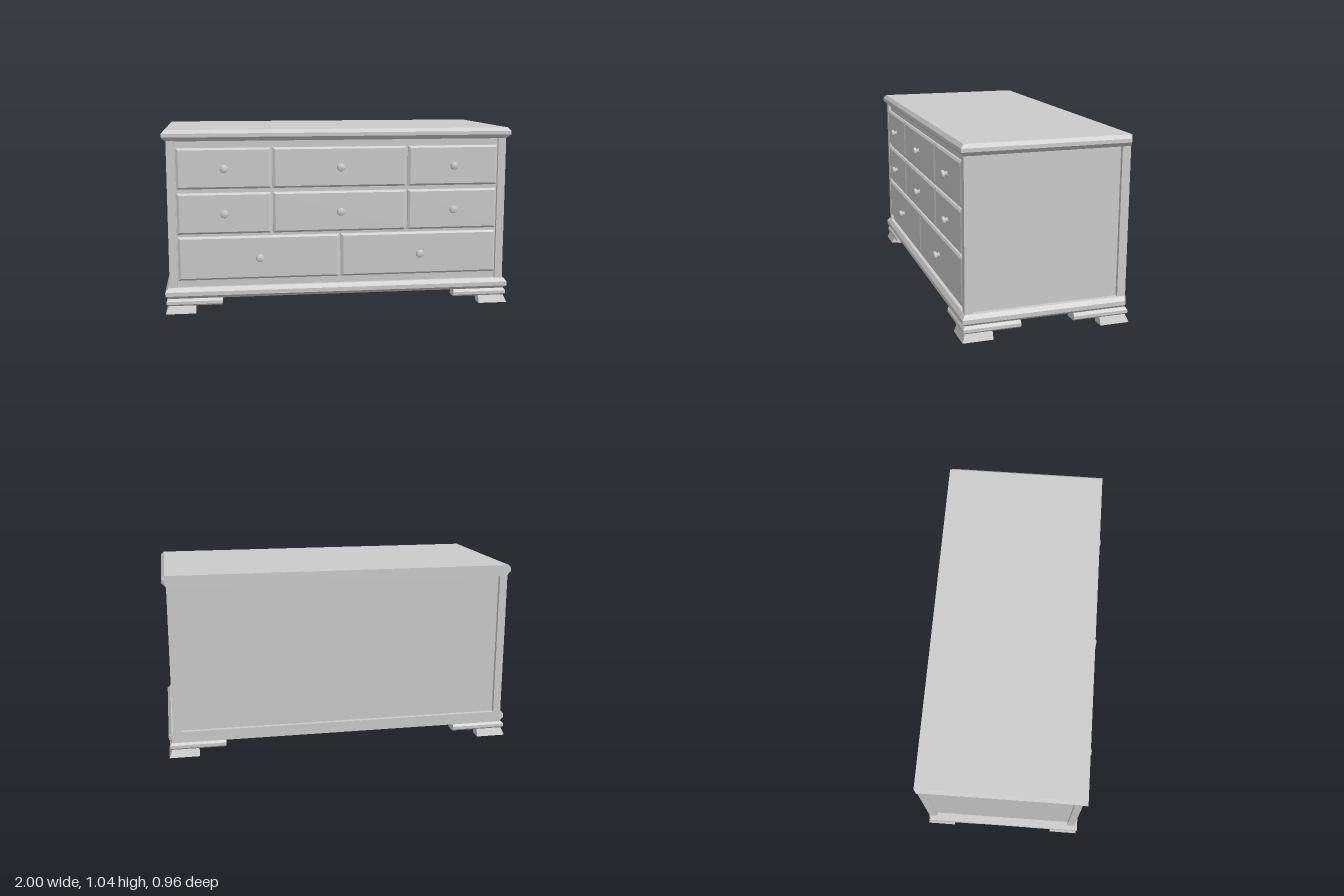
import * as THREE from 'three';

const material = new THREE.MeshStandardMaterial({ color: 0xcccccc, flatShading: true });
const smooth = new THREE.MeshStandardMaterial({ color: 0xcccccc });

// Closed solid through stacked [x, z] loops, listed from low y to high y.
function loft(layers) {
  const rings = layers.map(({ y, loop }) => {
    const pts = loop.map(([x, z]) => new THREE.Vector2(x, z));
    if (THREE.ShapeUtils.isClockWise(pts)) pts.reverse();
    return { y, pts };
  });
  const n = rings[0].pts.length;
  const positions = [];
  const index = [];
  rings.forEach(({ y, pts }) => pts.forEach((p) => positions.push(p.x, y, p.y)));
  for (let k = 0; k < rings.length - 1; k++) {
    for (let i = 0; i < n; i++) {
      const j = (i + 1) % n;
      const a = k * n + i, b = k * n + j;
      index.push(a, a + n, b + n, a, b + n, b);
    }
  }
  const top = (rings.length - 1) * n;
  THREE.ShapeUtils.triangulateShape(rings[0].pts, []).forEach(([a, b, c]) => index.push(a, b, c));
  THREE.ShapeUtils.triangulateShape(rings[rings.length - 1].pts, [])
    .forEach(([a, b, c]) => index.push(top + a, top + c, top + b));
  const geometry = new THREE.BufferGeometry();
  geometry.setAttribute('position', new THREE.Float32BufferAttribute(positions, 3));
  geometry.setIndex(index);
  const flat = geometry.toNonIndexed();
  flat.computeVertexNormals();
  return flat;
}

// Box given by its limits.
function box(x0, x1, y0, y1, z0, z1) {
  return new THREE.BoxGeometry(x1 - x0, y1 - y0, z1 - z0)
    .translate((x0 + x1) / 2, (y0 + y1) / 2, (z0 + z1) / 2);
}

// Moulded slab outline: flush back with small clipped corners.
function slabLoop(w, front) {
  const xb = Math.min(w, 0.985);
  return [[-w, front], [w, front], [w, -0.447], [xb, -0.458], [-xb, -0.458], [-w, -0.447]];
}

function slab(y0, y1, y2, y3) {
  return loft([
    { y: y0, loop: slabLoop(0.975, 0.451) },
    { y: y1, loop: slabLoop(1, 0.472) },
    { y: y2, loop: slabLoop(1, 0.472) },
    { y: y3, loop: slabLoop(0.982, 0.455) },
  ]);
}

// L-shaped corner outline, pushed outward by o, arms ending at x0 and z0.
function cornerLoop(sx, sz, o, x0, z0, t) {
  const x = 0.983 + o, z = 0.456 + o;
  return [[x, z], [x, z0], [x - t, z0], [x - t, z - t], [x0, z - t], [x0, z]]
    .map(([px, pz]) => [px * sx, pz * sz]);
}

export function createModel() {
  const model = new THREE.Group();
  const chest = new THREE.Group();
  chest.name = 'chestOfDrawers';
  chest.position.z = -0.01;
  model.add(chest);

  const add = (name, geometry, mat = material, parent = chest) => {
    const mesh = new THREE.Mesh(geometry, mat);
    mesh.name = name;
    parent.add(mesh);
    return mesh;
  };

  // Carcass with recessed sides, back and front, between two moulded slabs
  add('carcass', box(-0.955, 0.955, 0.14, 0.985, -0.435, 0.435));
  add('topSlab', slab(0.977, 1.0, 1.02, 1.04));
  add('baseMoulding', slab(0.083, 0.102, 0.125, 0.147));

  for (const sx of [-1, 1]) {
    const side = sx > 0 ? 'left' : 'right';
    const [x0, x1] = sx > 0 ? [0.93, 0.975] : [-0.975, -0.93];
    // Corner posts
    add(side + 'FrontPost', box(x0, x1, 0.14, 0.985, 0.41, 0.453));
    add(side + 'BackPost', box(x0, x1, 0.14, 0.985, -0.458, -0.41));

    // Stepped bracket feet with a flared lower block
    for (const sz of [-1, 1]) {
      const foot = new THREE.Group();
      foot.name = side + (sz > 0 ? 'Front' : 'Back') + 'Foot';
      chest.add(foot);
      const bracket = [[0.043, 0], [0.053, 0.011], [0.07, 0.011], [0.084, 0]];
      add('footBracket', loft(bracket.map(([y, o]) => (
        { y, loop: cornerLoop(sx, sz, o, 0.677, 0.15, 0.08) }))), material, foot);
      const block = [[0, 0.017], [0.044, 0]];
      add('footBlock', loft(block.map(([y, o]) => (
        { y, loop: cornerLoop(sx, sz, o, 0.83, 0.305, 0.07) }))), material, foot);
    }
  }

  // Drawer front: a panel with bevelled edges
  const rect = (w, h) => [[-w, -h], [w, -h], [w, h], [-w, h]];
  const drawerFront = (w, h) => loft([
    { y: 0, loop: rect(w / 2, h / 2) },
    { y: 0.012, loop: rect(w / 2, h / 2) },
    { y: 0.021, loop: rect(w / 2 - 0.014, h / 2 - 0.011) },
  ]).rotateX(Math.PI / 2);

  // Turned knob
  const knob = new THREE.LatheGeometry([
    [0.018, 0], [0.016, 0.004], [0.011, 0.009], [0.013, 0.014], [0.021, 0.019],
    [0.023, 0.024], [0.022, 0.031], [0.017, 0.036], [0, 0.038],
  ].map(([r, y]) => new THREE.Vector2(r, y)), 20).rotateX(Math.PI / 2);

  // Three rows: two of three drawers, one of two wide drawers
  const three = [[-0.925, -0.395], [-0.385, 0.385], [0.395, 0.925]];
  const two = [[-0.925, -0.004], [0.004, 0.925]];
  const rows = [
    { y0: 0.708, y1: 0.938, columns: three },
    { y0: 0.452, y1: 0.685, columns: three },
    { y0: 0.187, y1: 0.436, columns: two },
  ];
  rows.forEach(({ y0, y1, columns }, r) => columns.forEach(([x0, x1], c) => {
    const drawer = new THREE.Group();
    drawer.name = `drawerRow${r + 1}Column${c + 1}`;
    drawer.position.set((x0 + x1) / 2, (y0 + y1) / 2, 0.434);
    chest.add(drawer);
    add('drawerFront', drawerFront(x1 - x0, y1 - y0), material, drawer);
    add('knob', knob, smooth, drawer).position.z = 0.02;
  }));

  return model;
}
